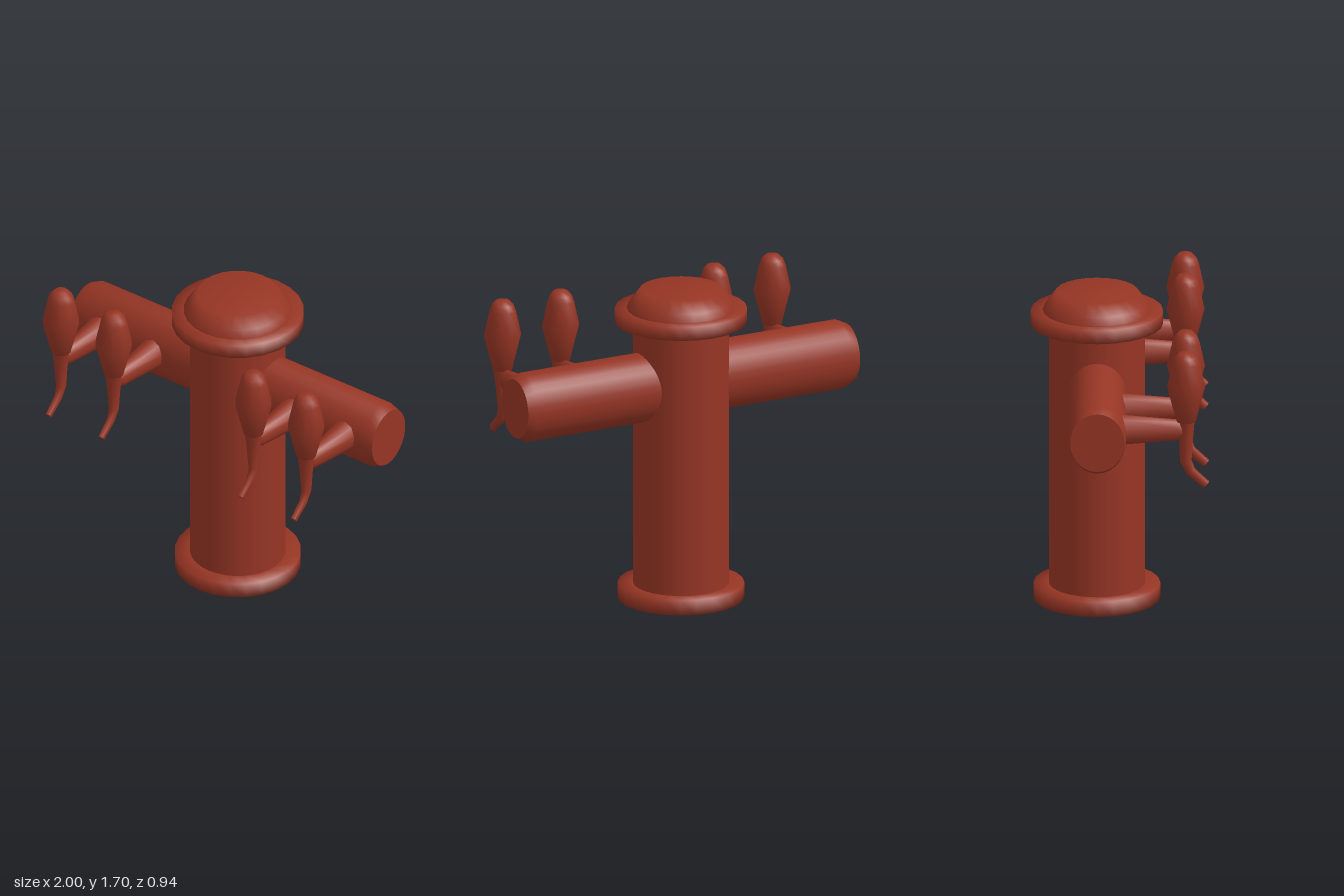
import * as THREE from 'three';
import { toCreasedNormals } from 'three/addons/utils/BufferGeometryUtils.js';

const material = new THREE.MeshStandardMaterial({ color: 0x963524 });
const X = new THREE.Vector3(1, 0, 0);
const Z = new THREE.Vector3(0, 0, 1);
const AXIS_Z = -0.12;

function part(name, geometry, parent) {
  const mesh = new THREE.Mesh(geometry, material);
  mesh.name = name;
  parent.add(mesh);
  return mesh;
}

// Smooth turned part from [radius, y] pairs, bottom to top
function turned(profile, sides) {
  return new THREE.LatheGeometry(profile.map(([r, y]) => new THREE.Vector2(r, y)), sides);
}

// Capped bar through rings [x, y, z, radius along side, radius across side]
function loft(rings, side, sides) {
  const n = rings.length - 1;
  const centres = rings.map(([x, y, z]) => new THREE.Vector3(x, y, z));
  const across = centres.map((c, i) => {
    const tangent = centres[Math.min(i + 1, n)].clone().sub(centres[Math.max(i - 1, 0)]).normalize();
    return new THREE.Vector3().crossVectors(side, tangent);
  });
  const geometry = new THREE.CylinderGeometry(1, 1, 1, sides, n);
  const pos = geometry.attributes.position;
  for (let k = 0; k < pos.count; k++) {
    const i = Math.round((pos.getY(k) + 0.5) * n);
    const p = centres[i].clone()
      .addScaledVector(side, pos.getX(k) * rings[i][3])
      .addScaledVector(across[i], pos.getZ(k) * rings[i][4]);
    pos.setXYZ(k, p.x, p.y, p.z);
  }
  return toCreasedNormals(geometry, Math.PI / 3);
}

function createTap() {
  const tap = new THREE.Group();
  tap.name = 'tap';
  // Tapered shank from the arm to the valve
  part('shank', loft([
    [0, 1.202, -0.04, 0.085, 0.087],
    [0, 1.202, 0.02, 0.077, 0.082],
    [0, 1.202, 0.3, 0.042, 0.058],
    [0, 1.202, 0.33, 0.034, 0.045],
  ], X, 10), tap);
  // Spout curving forward at the bottom
  part('spout', loft([
    [0, 1.26, 0.35, 0.05, 0.042],
    [0, 1.15, 0.347, 0.036, 0.036],
    [0, 1.03, 0.345, 0.025, 0.031],
    [0, 0.97, 0.372, 0.02, 0.027],
    [0, 0.898, 0.453, 0.015, 0.024],
  ], X, 10), tap);
  // Faceted-outline pull handle
  part('handle', turned([
    [0, 1.248], [0.052, 1.25], [0.1, 1.44], [0.072, 1.57],
    [0.058, 1.607], [0.035, 1.63], [0, 1.633],
  ], 10), tap).position.z = 0.347;
  return tap;
}

export function createModel() {
  const model = new THREE.Group();
  model.name = 'beerTower';

  // Central tower
  const tower = new THREE.Group();
  tower.name = 'tower';
  tower.position.z = AXIS_Z;
  model.add(tower);
  part('base', turned([[0, 0], [0.333, 0], [0.333, 0.082], [0.25, 0.082]], 24), tower);
  part('column', turned([[0.252, 0.04], [0.252, 1.55]], 32), tower);
  part('collar', turned([[0.25, 1.518], [0.348, 1.518], [0.348, 1.592], [0.27, 1.592]], 24), tower);
  part('cap', turned([[0.285, 1.58], [0.285, 1.6], [0.262, 1.635], [0.215, 1.697], [0, 1.697]], 24), tower);

  // Oval cross arm with chamfered ends
  part('crossArm', loft([
    [-1, 1.19, AXIS_Z, 0.143, 0.16],
    [-0.945, 1.19, AXIS_Z, 0.152, 0.187],
    [0.945, 1.19, AXIS_Z, 0.152, 0.187],
    [1, 1.19, AXIS_Z, 0.143, 0.16],
  ], Z, 28), model);

  // Two taps on each arm
  for (const x of [-0.813, -0.463, 0.463, 0.813]) {
    const tap = createTap();
    tap.position.x = x;
    model.add(tap);
  }
  return model;
}
